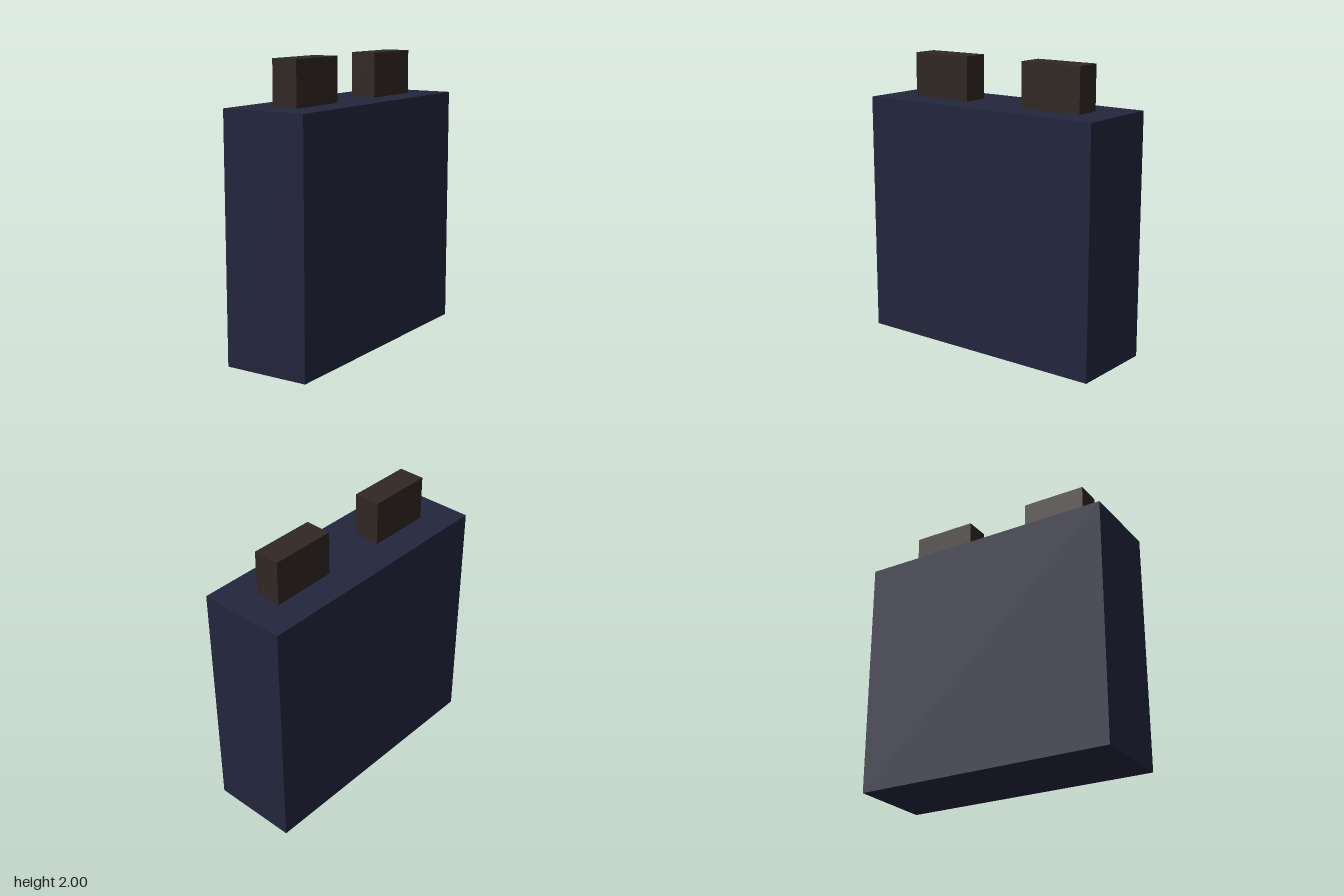
import * as THREE from 'three';

const BODY = { width: 0.615, height: 1.692, depth: 1.846 };
const POST = { width: 0.185, height: 0.308, depth: 0.4615, z: 0.4615 };

// Box standing on the given base height
function addBox(group, name, { width, height, depth }, material, baseY, z = 0) {
  const mesh = new THREE.Mesh(new THREE.BoxGeometry(width, height, depth), material);
  mesh.name = name;
  mesh.position.set(0, baseY + height / 2, z);
  group.add(mesh);
}

export function createModel() {
  const group = new THREE.Group();
  group.name = 'caseWithPosts';
  const navy = new THREE.MeshStandardMaterial({ color: 0x24263e });
  const brown = new THREE.MeshStandardMaterial({ color: 0x322823 });

  // Main case
  addBox(group, 'body', BODY, navy, 0);

  // Matching posts on top, front and back
  addBox(group, 'frontPost', POST, brown, BODY.height, POST.z);
  addBox(group, 'backPost', POST, brown, BODY.height, -POST.z);

  return group;
}
